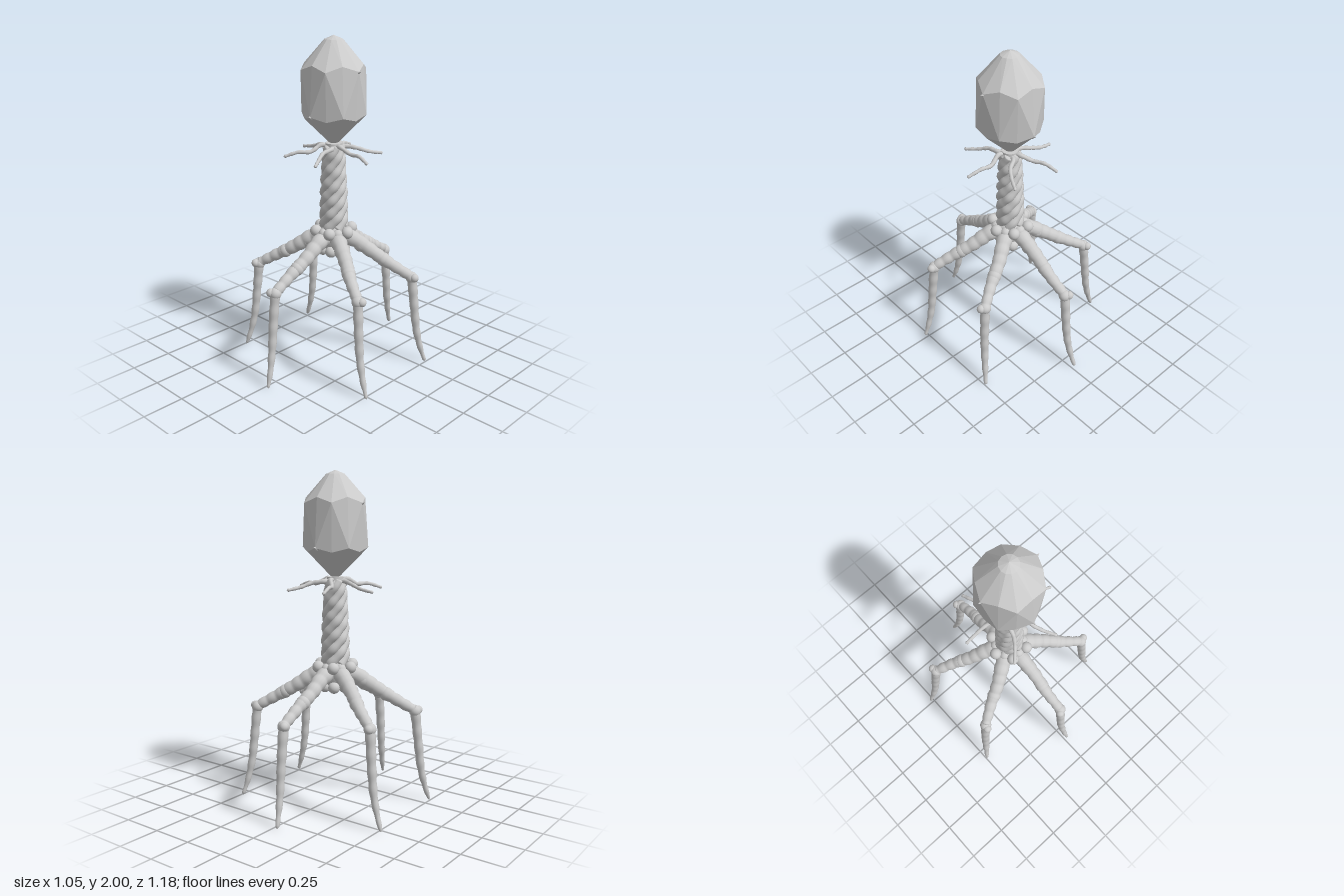
import * as THREE from 'three';
import { mergeVertices } from 'three/addons/utils/BufferGeometryUtils.js';
import { ConvexGeometry } from 'three/addons/geometries/ConvexGeometry.js';

const grey = new THREE.MeshStandardMaterial({ color: 0xcccccc });
const faceted = new THREE.MeshStandardMaterial({ color: 0xcccccc, flatShading: true });
const V = (x, y, z) => new THREE.Vector3(x, y, z);
const polar = (r, y, a) => V(r * Math.sin(a), y, r * Math.cos(a));
const SIXTH = Math.PI / 3;

function add(parent, name, geometry, material = grey) {
  const mesh = new THREE.Mesh(geometry, material);
  mesh.name = name;
  parent.add(mesh);
  return mesh;
}

// Tube along a smooth path whose radius follows radiusAt(t); rounded off at both ends
function taperedTube(points, radiusAt, steps = 40, sides = 12) {
  const curve = new THREE.CatmullRomCurve3(points);
  let geo = new THREE.TubeGeometry(curve, steps, 1, sides);
  const pos = geo.attributes.position, p = V(0, 0, 0);
  for (let i = 0; i <= steps; i++) {
    const t = i / steps, centre = curve.getPointAt(t);
    const r = i === 0 || i === steps ? 0.0005 : radiusAt(t);
    for (let j = 0; j <= sides; j++) {
      const k = i * (sides + 1) + j;
      p.fromBufferAttribute(pos, k).sub(centre).multiplyScalar(r).add(centre);
      pos.setXYZ(k, p.x, p.y, p.z);
    }
  }
  geo.deleteAttribute('uv');
  geo.deleteAttribute('normal');
  geo = mergeVertices(geo, 1e-5);
  geo.computeVertexNormals();
  return geo;
}

function ball(parent, name, r, position) {
  add(parent, name, new THREE.SphereGeometry(r, 16, 12)).position.copy(position);
}

// Elongated polyhedral head: two hexagon rings turned against each other
function buildHead() {
  const head = new THREE.Group();
  head.name = 'head';
  const pts = [V(0, 2, 0), V(0, 1.37, 0)];
  for (let i = 0; i < 6; i++) {
    const a = i * SIXTH, b = a + SIXTH / 2;
    pts.push(polar(0.195, 1.81, b), polar(0.175, 1.842, a));
    pts.push(polar(0.195, 1.555, a), polar(0.175, 1.53, b));
    for (const c of [a, b]) pts.push(polar(0.055, 1.977, c), polar(0.03, 1.385, c));
  }
  add(head, 'shell', new ConvexGeometry(pts), faceted);

  // Small studs on four of the corners
  [[1.805, Math.PI / 2], [1.805, -Math.PI / 2], [1.555, 0], [1.555, Math.PI]].forEach(([y, a]) => {
    const stud = add(head, 'stud', new THREE.ConeGeometry(0.013, 0.035, 8));
    stud.position.copy(polar(0.193, y, a));
    stud.quaternion.setFromUnitVectors(V(0, 1, 0), polar(1, 0.4, a).normalize());
  });
  return head;
}

// Tail of wound strands around a core
function buildTail() {
  const tail = new THREE.Group();
  tail.name = 'tail';
  add(tail, 'core', new THREE.CylinderGeometry(0.05, 0.066, 0.55, 24)).position.y = 1.105;
  const strands = 6;
  for (let s = 0; s < strands; s++) {
    const pts = [];
    for (let i = 0; i <= 24; i++) {
      const t = i / 24;
      pts.push(polar(0.06 - 0.017 * t * t, 0.85 + 0.515 * t, s * SIXTH + t * Math.PI * 2.4));
    }
    add(tail, 'strand', taperedTube(pts, t => 0.029 - 0.005 * t + 0.002 * Math.sin(t * 50 + s * 2), 80, 10));
  }
  add(tail, 'neck', new THREE.CylinderGeometry(0.035, 0.06, 0.03, 24)).position.y = 1.365;
  return tail;
}

// Thin wavy whisker pointing along +z, before turning
function buildWhisker(i) {
  const w = i % 2 ? 0.012 : -0.012;
  const pts = [V(0, 1.355, 0.02), V(-w, 1.36 + w / 2, 0.07), V(w, 1.338 - w / 2, 0.14),
    V(w, 1.327 + w / 2, 0.21), V(0, 1.305, 0.298)];
  return taperedTube(pts, t => 0.015 - 0.006 * t + 0.001 * Math.sin(t * 40), 36, 8);
}

// Jointed leg pointing along +z, before turning
function buildLeg(i) {
  const leg = new THREE.Group();
  leg.name = 'leg';
  const thigh = [V(0, 0.815, 0.04), V(0, 0.785, 0.13), V(0.004, 0.715, 0.24),
    V(-0.003, 0.645, 0.36), V(0, 0.575, 0.485)];
  const bumps = t => 0.005 * Math.abs(Math.sin(t * Math.PI * 8 + i * 0.3));
  add(leg, 'thigh', taperedTube(thigh, t => 0.048 - 0.022 * t + bumps(t), 64, 14));
  ball(leg, 'thighKnuckle', 0.045, V(0, 0.755, 0.17));
  ball(leg, 'thighKnuckle', 0.042, V(0, 0.672, 0.31));
  ball(leg, 'knee', 0.036, V(0, 0.57, 0.485));
  ball(leg, 'kneeKnuckle', 0.026, V(i % 2 ? 0.018 : -0.018, 0.575, 0.505));

  const shin = [V(0, 0.58, 0.485), V(0, 0.48, 0.497), V(0, 0.36, 0.51), V(0.004, 0.22, 0.526),
    V(0.014, 0.1, 0.552), V(0.026, 0.001, 0.583)];
  add(leg, 'shin', taperedTube(shin, t => 0.03 - 0.008 * t - 0.013 * t ** 4
    + 0.0015 * Math.sin(t * 38 + i), 56, 12));
  return leg;
}

// Hub where the legs meet, ringed with balls
function buildHub() {
  const hub = new THREE.Group();
  hub.name = 'hub';
  const profile = [[0, 0.69], [0.045, 0.7], [0.075, 0.74], [0.09, 0.8], [0.088, 0.85], [0.06, 0.87], [0, 0.875]];
  add(hub, 'hubCore', new THREE.LatheGeometry(profile.map(([x, y]) => new THREE.Vector2(x, y)), 24));
  for (let i = 0; i < 6; i++) {
    const a = (i + 0.5) * SIXTH;
    ball(hub, 'upperBall', 0.036, polar(0.112, 0.842, a));
    ball(hub, 'lowerBall', 0.036, polar(0.068, 0.717, a));
    ball(hub, 'hipBall', 0.034, polar(0.085, 0.83, a + SIXTH / 2));
  }
  return hub;
}

export function createModel() {
  const model = new THREE.Group();
  model.name = 'phage';
  model.add(buildHead(), buildTail(), buildHub());
  for (let i = 0; i < 6; i++) {
    const leg = buildLeg(i);
    leg.rotation.y = i * SIXTH;
    model.add(leg);
    add(model, 'whisker', buildWhisker(i)).rotation.y = i * SIXTH + 0.41;
  }
  return model;
}
